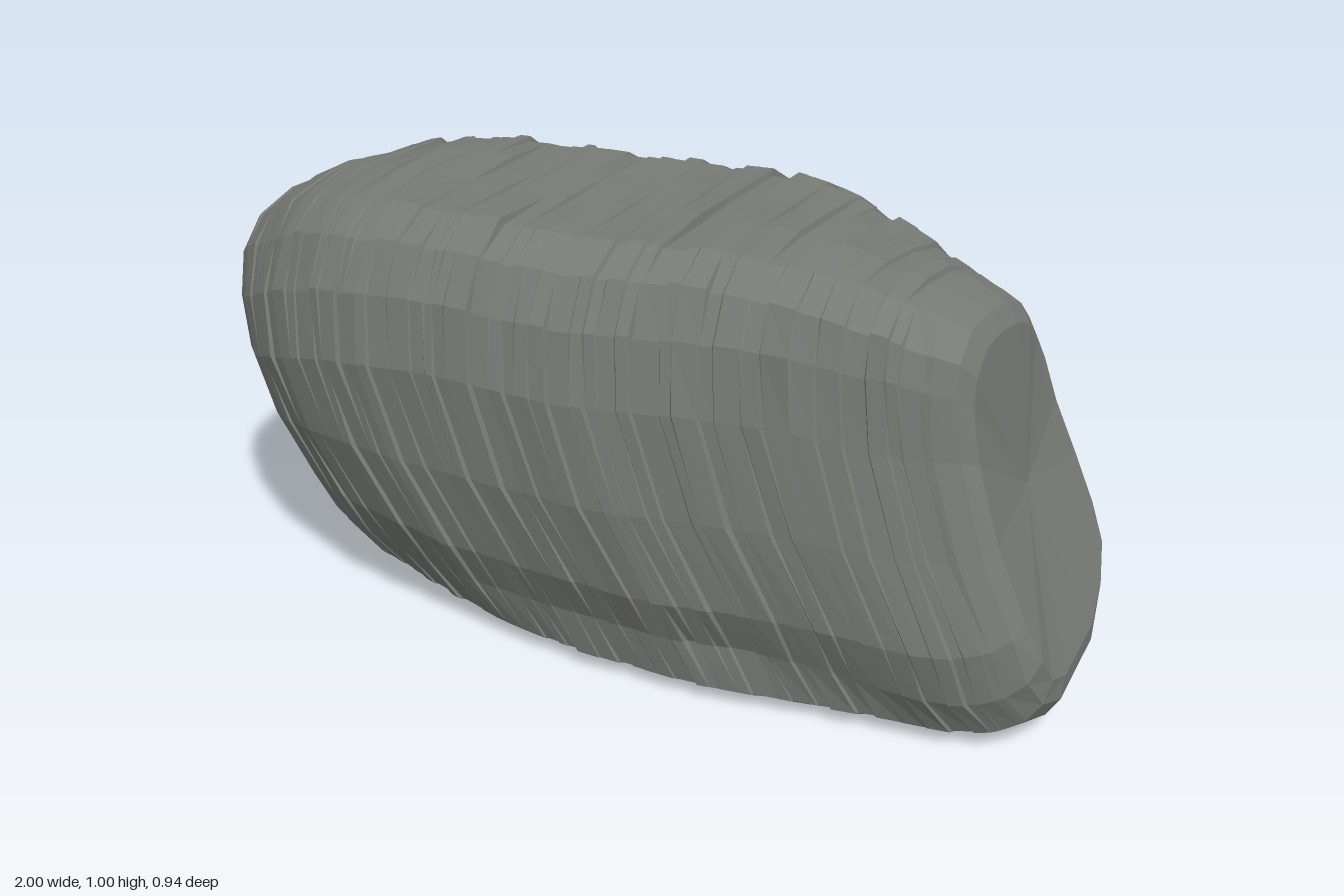
import * as THREE from 'three';

// piecewise-linear lookup in rows of [key, v1, v2, ...]
function lookup(rows, k) {
  if (k <= rows[0][0]) return rows[0].slice(1);
  for (let i = 1; i < rows.length; i++) {
    const a = rows[i - 1], b = rows[i];
    if (k <= b[0]) {
      const t = (k - a[0]) / (b[0] - a[0]);
      return a.slice(1).map((v, n) => v + (b[n + 1] - v) * t);
    }
  }
  return rows[rows.length - 1].slice(1);
}

function seeded(seed) {
  return () => {
    seed = (seed * 16807) % 2147483647;
    return seed / 2147483647;
  };
}

// position along the rock: front half width, back half width, bottom, top
const STATIONS = [
  [-1.0, 0.20, 0.20, 0.16, 0.79], [-0.98, 0.27, 0.255, 0.08, 0.85],
  [-0.93, 0.32, 0.29, 0, 0.895], [-0.87, 0.35, 0.31, 0, 0.925],
  [-0.76, 0.405, 0.35, 0, 0.97], [-0.62, 0.44, 0.385, 0, 0.995],
  [-0.5, 0.46, 0.41, 0, 0.995], [-0.2, 0.465, 0.445, 0, 0.99],
  [0, 0.465, 0.465, 0, 0.985], [0.2, 0.425, 0.465, 0, 0.995],
  [0.35, 0.395, 0.455, 0, 0.995], [0.5, 0.37, 0.43, 0, 0.98],
  [0.58, 0.355, 0.415, 0, 0.965], [0.66, 0.33, 0.39, 0.015, 0.945],
  [0.73, 0.305, 0.355, 0.05, 0.92], [0.775, 0.28, 0.32, 0.09, 0.9],
  [0.8, 0.245, 0.28, 0.14, 0.86],
];

// sideways lean of the strata by height
const LEAN = [[0, 0.27], [0.15, 0.2], [0.25, 0.18], [0.45, 0.09], [0.6, 0.035], [0.75, 0.005], [1, 0]];

// cross-sections [width, height], front bottom over the top to back bottom
const LEFT = [
  [0.36, 0], [0.58, 0.06], [0.76, 0.17], [0.9, 0.29], [0.99, 0.47], [1, 0.63], [0.93, 0.78], [0.79, 0.9], [0.58, 0.97], [0.2, 1],
  [-0.2, 1], [-0.55, 0.98], [-0.8, 0.92], [-0.94, 0.82], [-1, 0.67], [-0.97, 0.47], [-0.87, 0.29], [-0.74, 0.18], [-0.58, 0.06], [-0.38, 0],
];
const MID = [
  [0.6, 0], [0.75, 0.04], [0.79, 0.15], [0.9, 0.26], [0.98, 0.47], [1, 0.7], [0.94, 0.85], [0.82, 0.95], [0.62, 1], [0.2, 1],
  [-0.2, 1], [-0.6, 1], [-0.82, 0.95], [-0.93, 0.86], [-1, 0.7], [-0.97, 0.47], [-0.89, 0.26], [-0.8, 0.18], [-0.72, 0.04], [-0.59, 0],
];
const RIGHT = [
  [0.42, 0], [0.72, 0.04], [0.91, 0.13], [1, 0.26], [1, 0.47], [0.98, 0.7], [0.97, 0.86], [0.92, 0.94], [0.7, 1], [0.3, 1],
  [-0.1, 0.975], [-0.4, 0.93], [-0.62, 0.86], [-0.77, 0.77], [-0.9, 0.62], [-1, 0.44], [-1, 0.29], [-0.92, 0.18], [-0.72, 0.08], [-0.4, 0.01],
];

const lean = (y) => lookup(LEAN, y)[0];

function ring(u, bumps) {
  const [front, back, bottom, top] = lookup(STATIONS, u);
  const side = u < 0 ? LEFT : RIGHT;
  const blend = u < 0 ? THREE.MathUtils.smoothstep(-u, 0.25, 0.97) : THREE.MathUtils.smoothstep(u, 0.15, 0.78);
  return MID.map(([mw, mh], j) => {
    const w = mw + (side[j][0] - mw) * blend;
    const h = mh + (side[j][1] - mh) * blend;
    const z = w * (w > 0 ? front : back) * (1 + bumps[j]);
    const y = Math.max(0, bottom + (top - bottom) * h * (1 + bumps[j] * 0.45));
    return [u + lean(y), y, z];
  });
}

function rockGeometry() {
  const rand = seeded(4711);
  const n = MID.length;
  const rings = [];
  const smooth = new Array(n).fill(0);

  rings.push(ring(-1, smooth), ring(-0.98, smooth));
  // thin slabs of uneven thickness, each slightly proud of or behind its neighbour
  let u = -0.96;
  while (u < 0.7) {
    const end = Math.min(u + 0.02 + rand() * 0.04, 0.72);
    const slab = (rand() - 0.5) * 0.022;
    const bumps = smooth.map(() => slab + (rand() - 0.5) * 0.032);
    rings.push(ring(u, bumps), ring(end - 0.004, bumps));
    u = end;
  }
  rings.push(ring(0.73, smooth), ring(0.775, smooth), ring(0.8, smooth));

  const pos = rings.flat(2);
  const index = [];
  for (let i = 0; i < rings.length - 1; i++) {
    for (let j = 0; j < n; j++) {
      const k = (j + 1) % n;
      const a = i * n + j, b = a + n, c = (i + 1) * n + k, d = i * n + k;
      index.push(a, b, d, b, c, d);
    }
  }
  // end faces, the right one slightly hollow
  const count = rings.length * n;
  const last = count - n;
  pos.push(-0.995 + lean(0.46), 0.46, 0.01, 0.785 + lean(0.5), 0.5, -0.01);
  for (let j = 0; j < n; j++) {
    const k = (j + 1) % n;
    index.push(count, j, k, count + 1, last + k, last + j);
  }

  const indexed = new THREE.BufferGeometry();
  indexed.setAttribute('position', new THREE.Float32BufferAttribute(pos, 3));
  indexed.setIndex(index);
  const geometry = indexed.toNonIndexed();
  geometry.computeVertexNormals();
  return geometry;
}

export function createModel() {
  const group = new THREE.Group();
  group.name = 'layeredRock';
  const material = new THREE.MeshStandardMaterial({ color: 0x777a75, flatShading: true });
  const rock = new THREE.Mesh(rockGeometry(), material);
  rock.name = 'rock';
  group.add(rock);
  return group;
}
